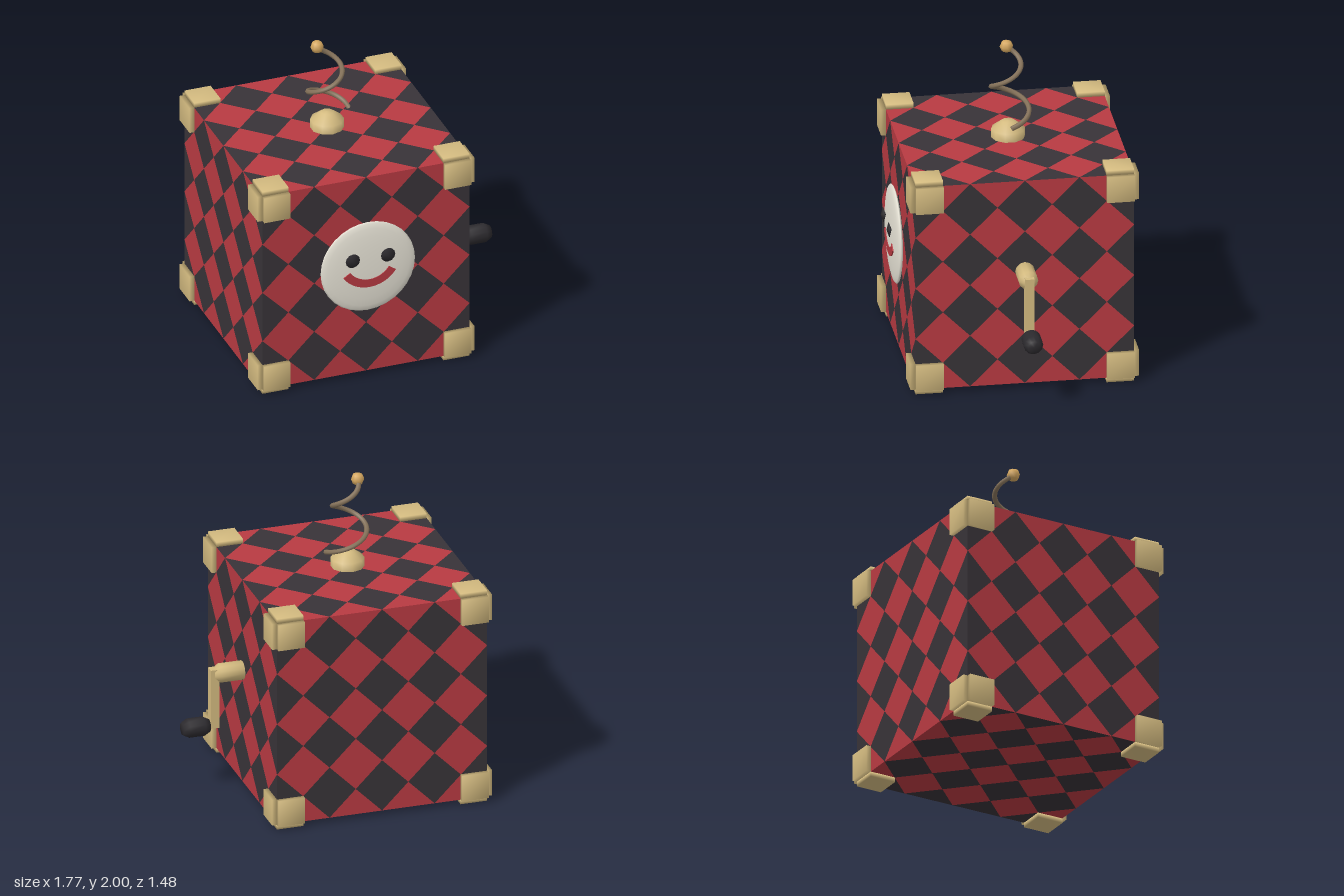
import * as THREE from 'three';
import { mergeVertices } from 'three/addons/utils/BufferGeometryUtils.js';

const CX = -0.18, CY = 0.708, CZ = -0.03, SIZE = 1.352, H = SIZE / 2;

const paint = (color, side = THREE.FrontSide) => new THREE.MeshStandardMaterial({ color, side });
const red = paint(0xb83a42), dark = paint(0x383338), black = paint(0x2c2a2e);
const brass = paint(0xd4bb80), gold = paint(0xd6a860), steel = paint(0x85725a), cream = paint(0xe9e5d8);

function add(parent, name, geometry, material, x = 0, y = 0, z = 0) {
  const mesh = new THREE.Mesh(geometry, material);
  mesh.name = name;
  mesh.position.set(x, y, z);
  parent.add(mesh);
  return mesh;
}

// Box with normals blended over its corners
function softBox(w, h, d) {
  const g = new THREE.BoxGeometry(w, h, d);
  g.deleteAttribute('uv');
  g.deleteAttribute('normal');
  const soft = mergeVertices(g);
  soft.computeVertexNormals();
  return soft;
}

const lathe = (points, sides) =>
  new THREE.LatheGeometry(points.map(([r, y]) => new THREE.Vector2(r, y)), sides);

// Diamonds of one colour on a square face: every grid cell holds half of each colour
function diamonds(parity, n = 8) {
  const pos = [], s = SIZE / n;
  for (let i = 0; i < n; i++) for (let j = 0; j < n; j++) {
    const c = [[i, j], [i + 1, j], [i + 1, j + 1], [i, j + 1]];
    c.forEach(([x, y], k) => {
      if ((x + y) % 2 === 0 || y % 2 !== parity) return;
      for (const [px, py] of [c[(k + 3) % 4], c[k], c[(k + 1) % 4]]) pos.push(px * s - H, py * s - H, H);
    });
  }
  const g = new THREE.BufferGeometry();
  g.setAttribute('position', new THREE.Float32BufferAttribute(pos, 3));
  g.computeVertexNormals();
  return g;
}

export function createModel() {
  const model = new THREE.Group();
  model.name = 'jackInTheBox';

  // Patterned box, six equal faces
  const box = new THREE.Group();
  box.name = 'box';
  box.position.set(CX, CY, CZ);
  model.add(box);
  const redGeo = diamonds(0), darkGeo = diamonds(1), q = Math.PI / 2;
  for (const [rx, ry] of [[0, 0], [0, q], [0, 2 * q], [0, -q], [q, 0], [-q, 0]]) {
    const side = new THREE.Group();
    side.name = 'boxSide';
    side.rotation.set(rx, ry, 0);
    add(side, 'redDiamonds', redGeo, red);
    add(side, 'darkDiamonds', darkGeo, dark);
    box.add(side);
  }

  // Corner guards: three thin plates at each corner
  const W = 0.171, T = 0.031, inner = H - W / 2, outer = H + T / 2;
  const plates = [0, 1, 2].map(a => softBox(...[0, 1, 2].map(k => (k === a ? T : W))));
  for (const sx of [-1, 1]) for (const sy of [-1, 1]) for (const sz of [-1, 1]) {
    const guard = new THREE.Group();
    guard.name = 'cornerGuard';
    plates.forEach((g, a) => {
      const p = [sx, sy, sz].map((s, k) => s * (k === a ? outer : inner));
      add(guard, 'cornerPlate', g, brass, ...p);
    });
    box.add(guard);
  }

  // Smiling face
  const face = new THREE.Group();
  face.name = 'face';
  face.position.set(CX, 0.78, 0.676);
  model.add(face);
  const disc = new THREE.SphereGeometry(0.308, 32, 12).rotateX(q).scale(1, 1, 0.105);
  add(face, 'faceDisc', disc, cream);
  const eye = new THREE.SphereGeometry(0.047, 12, 2).rotateX(q).scale(1, 1, 0.34);
  for (const s of [-1, 1]) add(face, s > 0 ? 'leftEye' : 'rightEye', eye, black, s * 0.115, 0.08, 0.047);
  const a0 = Math.PI + 0.6, a1 = 2 * Math.PI - 0.6;
  const smile = new THREE.Shape();
  smile.absarc(0, 0, 0.206, a0, a1, false);
  smile.absarc(0, 0, 0.153, a1, a0, true);
  const mouth = new THREE.ExtrudeGeometry(smile, { depth: 0.018, bevelEnabled: false, curveSegments: 20 });
  add(face, 'mouth', mouth, red, 0, 0.077, 0.017);

  // Crank on the left side
  const crank = new THREE.Group();
  crank.name = 'crank';
  crank.position.z = CZ;
  model.add(crank);
  const axle = lathe([[0, 0], [0.06, 0], [0.06, 0.15], [0.035, 0.185], [0, 0.19]], 12).rotateZ(-q);
  add(crank, 'crankAxle', axle, brass, 0.495, 0.78, 0);
  add(crank, 'crankArm', new THREE.BoxGeometry(0.056, 0.39, 0.056), brass, 0.68, 0.62, 0);
  const grip = lathe([[0, -0.087], [0.04, -0.087], [0.06, -0.05], [0.06, 0.05], [0.04, 0.087], [0, 0.087]], 12);
  add(crank, 'crankHandle', grip.rotateZ(-q), black, 0.797, 0.438, 0);

  // Knob on the lid
  const knob = lathe([[0.105, 0], [0.105, 0.055], [0.04, 0.105], [0, 0.108]], 10);
  add(model, 'lidKnob', knob, brass, CX, 1.385, CZ);

  // Tapering spring with a ball at its tip
  const path = [];
  for (let i = 0; i <= 36; i++) {
    const t = i / 36, a = t * 3 * Math.PI, r = 0.14 - 0.075 * t;
    path.push(new THREE.Vector3(r * Math.cos(a), 1.495 + 0.46 * t, -r * Math.sin(a)));
  }
  const coil = new THREE.TubeGeometry(new THREE.CatmullRomCurve3(path), 72, 0.016, 6);
  add(model, 'spring', coil, paint(steel.color, THREE.DoubleSide), CX, 0, CZ);
  add(model, 'springBall', new THREE.SphereGeometry(0.042, 8, 4), gold, CX - 0.065, 1.958, CZ);

  return model;
}
